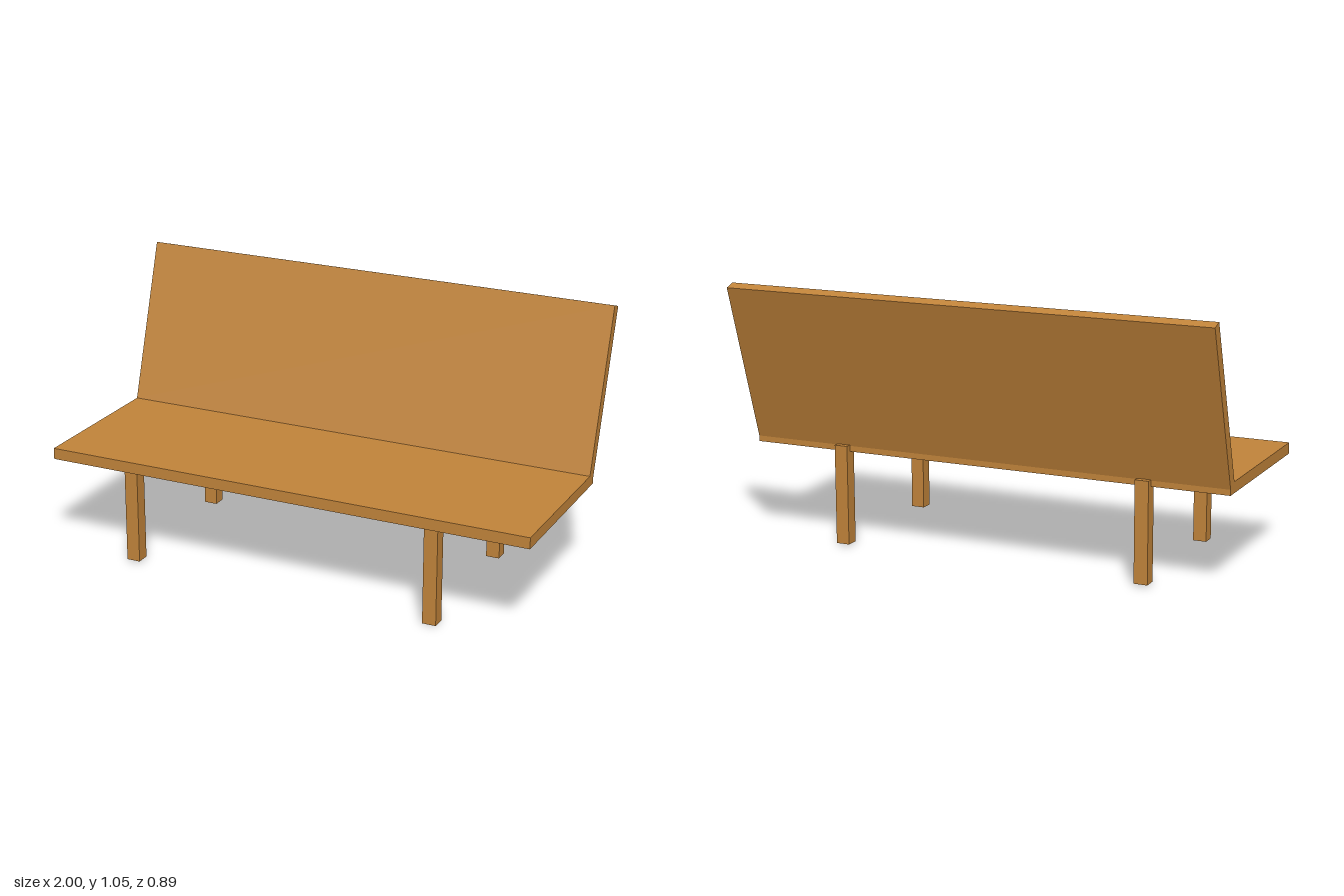
import * as THREE from 'three';

const wood = new THREE.MeshStandardMaterial({ color: 0xc0833a, flatShading: true });

// Board running the full width, from a side profile of [z, y] corners
function board(name, profile) {
  const shape = new THREE.Shape(profile.map(([z, y]) => new THREE.Vector2(z, y)));
  const geometry = new THREE.ExtrudeGeometry(shape, { depth: 2, bevelEnabled: false });
  geometry.translate(0, 0, -1).rotateY(-Math.PI / 2);
  const mesh = new THREE.Mesh(geometry, wood);
  mesh.name = name;
  return mesh;
}

// Square post with a very slight backward lean
function leg(name, x, z, bottom, top) {
  const height = top - bottom;
  const geometry = new THREE.BoxGeometry(0.055, height, 0.054);
  const p = geometry.attributes.position;
  for (let i = 0; i < p.count; i++) {
    if (p.getY(i) > 0) p.setZ(i, p.getZ(i) - 0.003);
  }
  const mesh = new THREE.Mesh(geometry, wood);
  mesh.name = name;
  mesh.position.set(x, bottom + height / 2, z);
  return mesh;
}

export function createModel() {
  const bench = new THREE.Group();
  bench.name = 'bench';

  // Seat and reclined backrest meet in a mitred joint
  bench.add(
    board('seat', [[0.447, 0.388], [0.447, 0.433], [-0.2, 0.428], [-0.24, 0.384]]),
    board('backrest', [[-0.2, 0.428], [-0.405, 1.054], [-0.447, 1.04], [-0.24, 0.407], [-0.24, 0.384]])
  );

  // Rear legs rise slightly behind the seat edge
  bench.add(
    leg('frontLeftLeg', 0.61, 0.41, 0, 0.4),
    leg('frontRightLeg', -0.662, 0.404, 0.008, 0.4),
    leg('rearLeftLeg', 0.61, -0.235, 0.008, 0.41),
    leg('rearRightLeg', -0.662, -0.235, 0.008, 0.41)
  );
  return bench;
}
